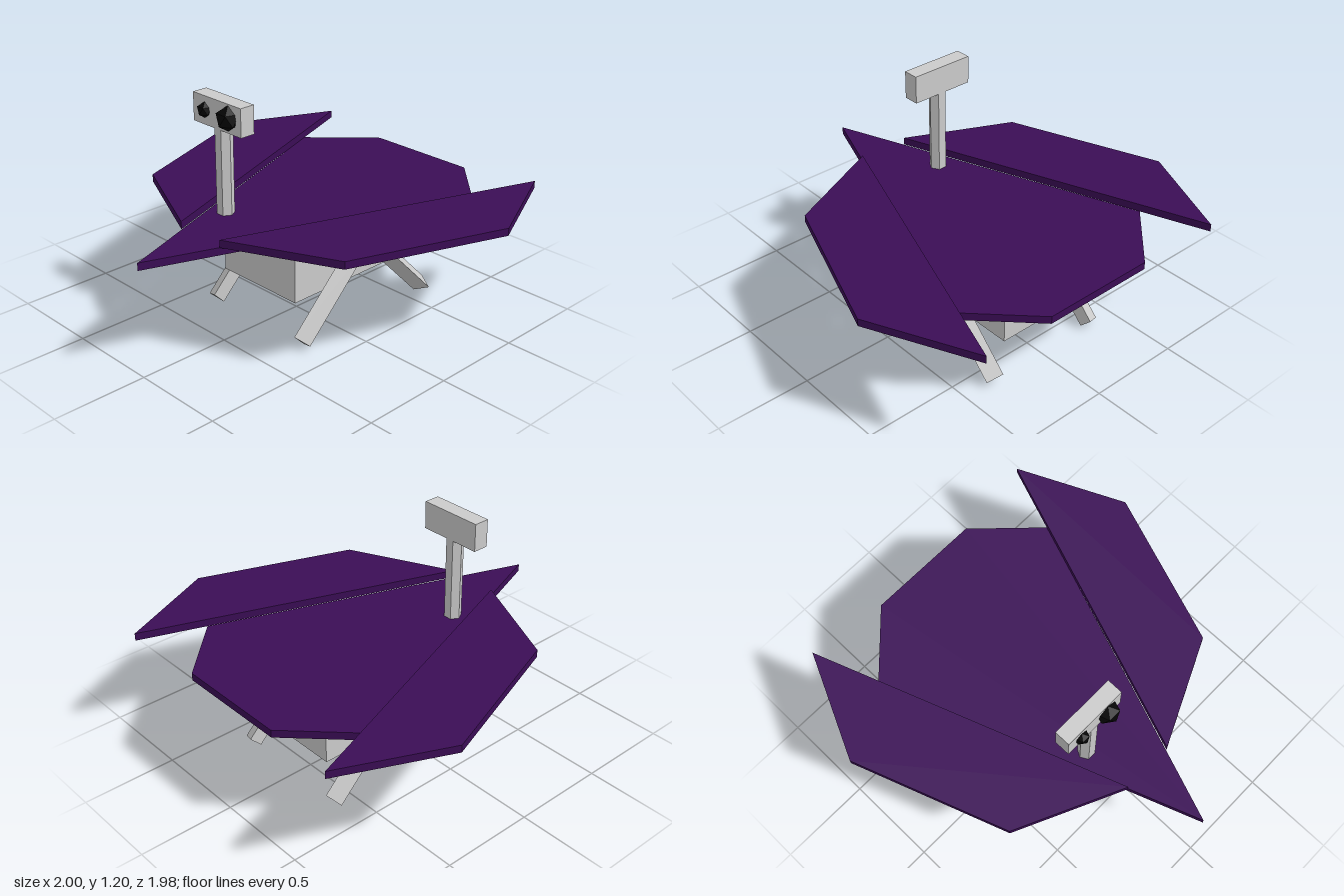
import * as THREE from 'three';

const grey = new THREE.MeshStandardMaterial({ color: 0xcccccc, flatShading: true });
const purple = new THREE.MeshStandardMaterial({ color: 0x3b0d56, flatShading: true });
const black = new THREE.MeshStandardMaterial({ color: 0x050505, flatShading: true });

export function createModel() {
  const model = new THREE.Group();

  const add = (name, geometry, material, x, y, z) => {
    const mesh = new THREE.Mesh(geometry, material);
    mesh.name = name;
    mesh.position.set(x, y, z);
    model.add(mesh);
    return mesh;
  };

  // Flat plate from an outline in x, z; its upper face lies at height top
  const addPanel = (name, outline, top) => {
    const shape = new THREE.Shape(outline.map(([x, z]) => new THREE.Vector2(x, z)));
    const geometry = new THREE.ExtrudeGeometry(shape, { depth: 0.04, bevelEnabled: false });
    add(name, geometry.rotateX(Math.PI / 2), purple, 0, top, 0);
  };

  // Body
  add('body', new THREE.BoxGeometry(0.863, 0.346, 0.52), grey, 0.173, 0.398, 0);

  // Solar panels: pointed centre plate and two raised wings
  addPanel('centrePanel', [[-1, 0], [0.65, -0.61], [0.953, -0.307], [0.953, 0.307], [0.65, 0.61]], 0.611);
  for (const side of [-1, 1]) {
    const wing = [[-0.63, 0.14], [-0.37, 0.697], [0.44, 0.99], [0.995, 0.735]];
    addPanel(side > 0 ? 'leftWingPanel' : 'rightWingPanel', wing.map(([x, z]) => [x, z * side]), 0.652);
  }

  // Legs: triangular bars with the ridge facing outward, paired as an inverted V
  for (const side of [-1, 1]) {
    for (const end of [-1, 1]) {
      const bar = new THREE.CylinderGeometry(0.052, 0.052, 0.643, 3);
      if (side < 0) bar.rotateY(Math.PI);
      bar.rotateZ(end * Math.PI / 4);
      add('leg', bar, grey, 0.172 + end * 0.217, 0.265, side * 0.328);
    }
  }

  // Mast and camera head
  add('mast', new THREE.CylinderGeometry(0.045, 0.045, 0.48, 6), grey, -0.348, 0.82, -0.14);
  add('cameraHead', new THREE.BoxGeometry(0.083, 0.147, 0.345), grey, -0.347, 1.133, -0.142);

  // Faceted lenses, each with a corner pointing straight up
  const tilt = Math.atan(2 / (1 + Math.sqrt(5)));
  for (const [name, radius, z] of [['largeLens', 0.065, -0.06], ['smallLens', 0.041, -0.23]]) {
    add(name, new THREE.IcosahedronGeometry(radius).rotateZ(-tilt), black, -0.388, 1.135, z);
  }

  return model;
}
